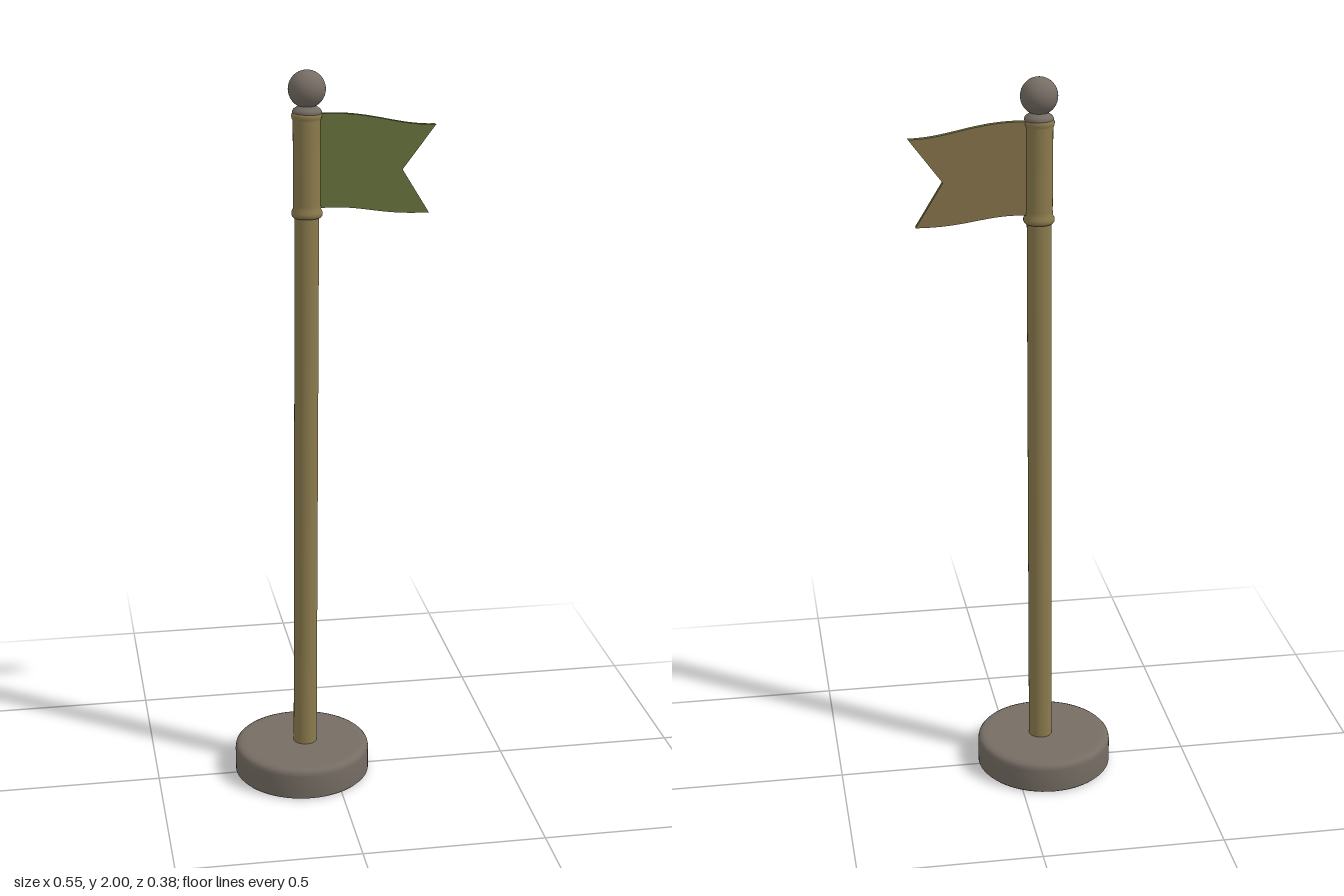
import * as THREE from 'three';

const mat = (name, color, side = THREE.FrontSide) => {
  const m = new THREE.MeshStandardMaterial({ color, side });
  m.name = name;
  return m;
};

export function createModel() {
  const group = new THREE.Group();
  const stone = mat('stone grey', 0x766d64);
  const wood = mat('pole tan', 0x8b7b4d);
  const green = mat('flag green', 0x64703a);
  const tan = mat('flag back tan', 0x837149);

  const add = (name, geometry, material, x = 0, y = 0, z = 0) => {
    const mesh = new THREE.Mesh(geometry, material);
    mesh.name = name;
    mesh.position.set(x, y, z);
    group.add(mesh);
    return mesh;
  };
  const lathe = (pts, seg = 48) =>
    new THREE.LatheGeometry(pts.map(([r, y]) => new THREE.Vector2(r, y)), seg);

  // Round base with a softened upper rim
  add('base', lathe([
    [0, 0], [0.184, 0], [0.184, 0], [0.19, 0.006], [0.19, 0.07], [0.188, 0.08],
    [0.183, 0.086], [0.174, 0.09], [0.16, 0.09], [0, 0.09],
  ], 64), stone, -0.088);

  // Pole leaning very slightly towards +x
  const poleX = (y) => -0.079 + 0.0072 * y;
  const pole = add('pole', new THREE.CylinderGeometry(0.032, 0.033, 1.8, 32), wood, poleX(0.98), 0.98);
  pole.rotation.z = -0.0072;

  // Cloth sleeve holding the flag, rolled at both ends
  add('sleeve', lathe([
    [0.03, 1.615], [0.037, 1.616], [0.041, 1.622], [0.041, 1.63], [0.037, 1.638],
    [0.036, 1.65], [0.036, 1.87], [0.039, 1.876], [0.04, 1.884], [0.037, 1.891], [0.0, 1.893],
  ], 32), wood, -0.067);

  // Collar and ball on top
  add('collar', lathe([
    [0.037, 1.886], [0.039, 1.892], [0.036, 1.899], [0.026, 1.906], [0.02, 1.912], [0, 1.915],
  ], 32), stone, -0.066);
  add('finial', new THREE.SphereGeometry(0.049, 40, 28), stone, -0.066, 1.951);

  // Swallow-tailed flag with wavy long edges
  const shape = new THREE.Shape();
  shape.moveTo(-0.06, 1.64);
  shape.lineTo(-0.03, 1.64);
  shape.bezierCurveTo(0.08, 1.645, 0.12, 1.615, 0.258, 1.618);
  shape.lineTo(0.186, 1.735);
  shape.lineTo(0.274, 1.851);
  shape.bezierCurveTo(0.17, 1.85, 0.1, 1.892, -0.03, 1.887);
  shape.lineTo(-0.06, 1.887);
  shape.closePath();
  const flag = new THREE.ExtrudeGeometry(shape, { depth: 0.016, bevelEnabled: false, curveSegments: 16 });
  // The first half of the cap faces is the back, the second half the front
  const [caps, sides] = flag.groups.map((g) => ({ ...g }));
  flag.clearGroups();
  flag.addGroup(caps.start, caps.count / 2, 0);
  flag.addGroup(caps.start + caps.count / 2, caps.count / 2, 1);
  flag.addGroup(sides.start, sides.count, 1);
  add('flag', flag, [tan, green], 0, 0, -0.009);

  return group;
}
